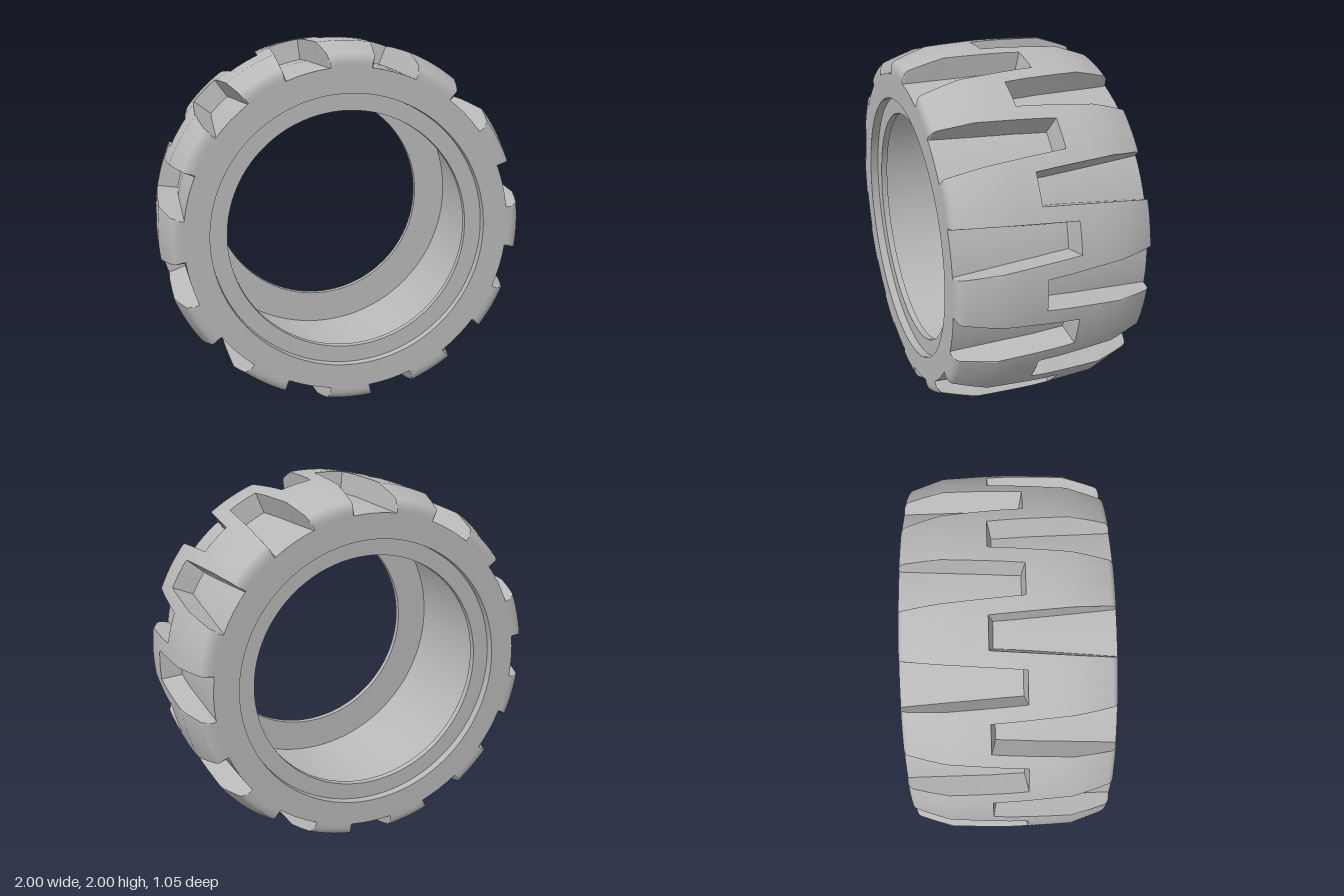
import * as THREE from 'three';
import { toCreasedNormals } from 'three/addons/utils/BufferGeometryUtils.js';

const { lerp, clamp, degToRad } = THREE.MathUtils;
const HALF = 0.525;   // half width of the tyre
const COUNT = 12;     // grooves on each side
const END = 0.09;     // how far a groove runs past the middle

// Tread crown and rounded shoulder as [z, radius], from back to front
function treadProfile() {
  const shoulder = new THREE.QuadraticBezierCurve(
    new THREE.Vector2(0.49, 0.934), new THREE.Vector2(0.525, 0.922), new THREE.Vector2(HALF, 0.868));
  const half = [[0.09, 0.998], [0.2, 0.994], [0.33, 0.988]];
  shoulder.getPoints(10).forEach((p) => half.push([p.x, p.y]));
  half.push([HALF, 0.86]);
  const back = half.map(([z, r]) => [-z, r]).reverse();
  return [...back, [0, 1], ...half];
}
const profile = treadProfile();

function crownRadius(z) {
  for (let i = 1; i < profile.length; i++) {
    const [z0, r0] = profile[i - 1], [z1, r1] = profile[i];
    if (z <= z1 && z1 > z0) return lerp(r0, r1, (z - z0) / (z1 - z0));
  }
  return 0.868;
}

const floorRadius = (z) => lerp(0.886, 0.862, clamp((Math.abs(z) - 0.1) / 0.42, 0, 1));

// Reach of a groove's edge at an angle (degrees) from the groove's centre line
function grooveEdge(a) {
  if (a <= 4.8) return END;
  if (a >= 7.6) return -HALF;
  return a < 7.5 ? lerp(END, -0.515, (a - 4.8) / 2.7) : lerp(-0.515, -HALF, (a - 7.5) / 0.1);
}

// One cross-section of the raised tread at u degrees within a 30 degree period
function column(u, turn) {
  const a = Math.abs(u), b = 15 - a, side = u < 0 ? -1 : 1;
  const lo = grooveEdge(a), hi = -grooveEdge(b);
  const point = (angle, z, r) => {
    const t = degToRad(angle + turn);
    return new THREE.Vector3(r * Math.sin(t), 1 + r * Math.cos(t), z);
  };
  const draft = (z) => lerp(0.88, 1, clamp((Math.abs(z) - 0.09) / 0.42, 0, 1));
  const foot = (z, shift) => (Math.abs(z) < 0.1 ? z + shift : z);
  const rows = [point(side * a * draft(lo), foot(lo, -0.02), floorRadius(lo) - 0.004)];
  for (const [z, r] of profile) {
    if (z < lo) rows.push(point(u, lo, crownRadius(lo)));
    else if (z > hi) rows.push(point(u, hi, crownRadius(hi)));
    else rows.push(point(u, z, r));
  }
  rows.push(point(side * (15 - b * draft(hi)), foot(hi, 0.02), floorRadius(hi) - 0.004));
  return rows;
}

// Raised zigzag tread with tapered grooves from both sides
function treadGeometry() {
  const half = [0, 1.6, 3.2, 4.8];
  for (let i = 1; i <= 6; i++) half.push(4.8 + i * 0.45);
  const quarter = half.slice(4, -1);
  const angles = [...half.slice(0, 4), ...quarter, 7.5];
  const right = [...angles, ...angles.map((a) => 15 - a).reverse()]
    .filter((a, i, list) => i === 0 || a - list[i - 1] > 1e-4);
  const period = [...right.slice(1).map((a) => -a).reverse(), ...right];
  const out = [];
  const e1 = new THREE.Vector3(), e2 = new THREE.Vector3();
  const tri = (a, b, c) => {
    e1.subVectors(b, a);
    e2.subVectors(c, a);
    if (e1.cross(e2).length() < 1e-9) return;
    for (const p of [a, b, c]) out.push(p.x, p.y, p.z);
  };
  for (let k = 0; k < COUNT; k++) {
    const cols = period.map((u) => column(u, k * 360 / COUNT));
    for (let i = 0; i < cols.length - 1; i++) {
      for (let j = 0; j < cols[i].length - 1; j++) {
        const a = cols[i][j], b = cols[i][j + 1], c = cols[i + 1][j], d = cols[i + 1][j + 1];
        tri(a, b, c);
        tri(b, d, c);
      }
    }
  }
  const geo = new THREE.BufferGeometry();
  geo.setAttribute('position', new THREE.Float32BufferAttribute(out, 3));
  return toCreasedNormals(geo, 0.3);
}

// Hollow ring: groove floor, flat sidewalls, stepped beads and inner cavity
function carcassGeometry() {
  const half = [
    [0.886, 0.1], [0.862, HALF], [0.73, HALF], [0.73, 0.48],
    [0.64, 0.48], [0.64, 0.445], [0.83, 0.445],
  ];
  const loop = [...half, ...half.map(([r, z]) => [r, -z]).reverse(), half[0]];
  const geo = new THREE.LatheGeometry(loop.map(([r, z]) => new THREE.Vector2(r, z)), 96);
  geo.rotateX(Math.PI / 2);
  geo.translate(0, 1, 0);
  return toCreasedNormals(geo, 0.3);
}

export function createModel() {
  const rubber = new THREE.MeshStandardMaterial({ color: 0xb8b8b8 });
  rubber.name = 'greyRubber';

  const tyre = new THREE.Group();
  tyre.name = 'tyre';
  const parts = { carcass: carcassGeometry(), tread: treadGeometry() };
  for (const [name, geometry] of Object.entries(parts)) {
    const mesh = new THREE.Mesh(geometry, rubber);
    mesh.name = name;
    tyre.add(mesh);
  }
  return tyre;
}
